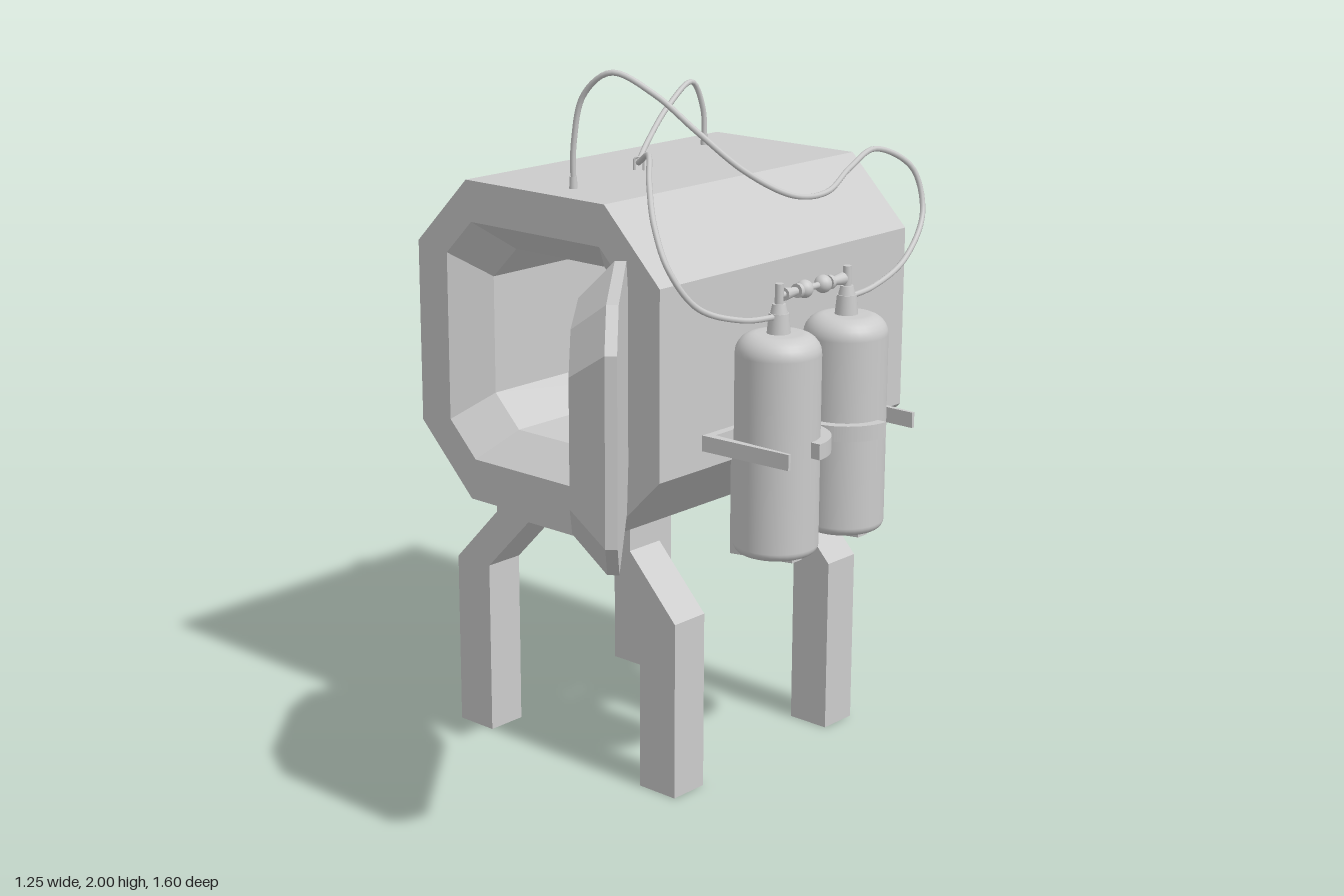
import * as THREE from 'three';

const mat = new THREE.MeshStandardMaterial({ color: 0xcccccc });
const flat = new THREE.MeshStandardMaterial({ color: 0xcccccc, flatShading: true });

function add(parent, name, geo, material = mat, x = 0, y = 0, z = 0) {
  const m = new THREE.Mesh(geo, material);
  m.name = name;
  m.position.set(x, y, z);
  parent.add(m);
  return m;
}

// Chamfered rectangle, counter-clockwise seen from +z
function octagon(x0, x1, y0, y1, c, z) {
  return [[x0 + c, y0], [x1 - c, y0], [x1, y0 + c], [x1, y1 - c],
    [x1 - c, y1], [x0 + c, y1], [x0, y1 - c], [x0, y0 + c]].map(p => [p[0], p[1], z]);
}

// Skin successive loops and cap both ends
function loft(loops) {
  const pos = [];
  const tri = (...p) => p.forEach(v => pos.push(...v));
  const n = loops[0].length;
  for (let k = 0; k < loops.length - 1; k++) {
    const A = loops[k], B = loops[k + 1];
    for (let i = 0; i < n; i++) {
      const j = (i + 1) % n;
      tri(A[i], A[j], B[j]);
      tri(A[i], B[j], B[i]);
    }
  }
  const S = loops[0], E = loops[loops.length - 1];
  for (let i = 1; i < n - 1; i++) {
    tri(S[0], S[i + 1], S[i]);
    tri(E[0], E[i], E[i + 1]);
  }
  const g = new THREE.BufferGeometry();
  g.setAttribute('position', new THREE.Float32BufferAttribute(pos, 3));
  g.computeVertexNormals();
  return g;
}

const polygon = pts => new THREE.Shape(pts.map(p => new THREE.Vector2(p[0], p[1])));
const extrude = (shape, depth) =>
  new THREE.ExtrudeGeometry(shape, { depth, bevelEnabled: false, curveSegments: 16 });
// Horizontal plate from an (x, z) outline, hanging down from its origin
const plate = (shape, thick) => extrude(shape, thick).rotateX(Math.PI / 2);

const TX = 0.43, MID = -0.203, GAP = 0.146, R = 0.117;

function buildTank(s) {
  const tank = new THREE.Group();
  tank.name = 'tank';
  tank.position.set(TX, 0, MID + s * GAP);
  // Rounded bottle
  const pts = [new THREE.Vector2(0, 0.716)];
  const corner = (cy, r, a0) => {
    for (let i = 0; i <= 6; i++) {
      const a = a0 + (i / 6) * Math.PI / 2;
      pts.push(new THREE.Vector2(R - r + Math.cos(a) * r, cy + Math.sin(a) * r));
    }
  };
  corner(0.741, 0.025, -Math.PI / 2);
  corner(1.271, 0.055, 0);
  pts.push(new THREE.Vector2(0, 1.326));
  add(tank, 'bottle', new THREE.LatheGeometry(pts, 32));
  // Neck, collar and valve stem
  add(tank, 'collar', new THREE.CylinderGeometry(0.027, 0.033, 0.06, 16), mat, 0, 1.35, 0);
  add(tank, 'neck', new THREE.CylinderGeometry(0.018, 0.025, 0.03, 16), mat, 0, 1.39, 0);
  add(tank, 'valveStem', new THREE.CylinderGeometry(0.012, 0.012, 0.09, 12), mat, 0, 1.415, 0);
  // Half of the valve linkage, pointing at the other tank
  const link = (name, r0, r1, len, at) => {
    const m = add(tank, name, new THREE.CylinderGeometry(r1, r0, len, 12), mat, 0, 1.427, -s * at);
    m.rotation.x = -s * Math.PI / 2;
  };
  link('linkPipe', 0.009, 0.009, 0.146, 0.073);
  link('linkNut', 0.018, 0.011, 0.05, 0.045);
  link('linkRing', 0.02, 0.02, 0.012, 0.078);
  add(tank, 'linkKnob', new THREE.SphereGeometry(0.025, 16, 12), mat, 0, 1.427, -s * 0.106);
  return tank;
}

function buildRack() {
  const rack = new THREE.Group();
  rack.name = 'tankRack';
  const top = 1.045, h = 0.044;
  for (const s of [-1, 1]) {
    const cz = MID + s * GAP;
    // Tapered outer arm
    const e = d => MID + s * d;
    add(rack, 'outerArm', plate(polygon([[0.285, e(0.265)], [0.285, e(0.292)],
      [0.575, e(0.276)], [0.575, e(0.266)]]), h), mat, 0, top, 0);
    // Clamp arc between the bottles
    const end = -s * 1.75;
    const arc = new THREE.Shape();
    arc.absarc(TX, cz, 0.146, 0, end, s > 0);
    arc.absarc(TX, cz, R, end, 0, s < 0);
    add(rack, 'clampArc', plate(arc, h), mat, 0, top, 0);
    // Hanger with a tapered foot under the bottle
    add(rack, 'footBracket', extrude(polygon([[0.285, 1.0], [0.285, 0.678], [0.505, 0.7],
      [0.505, 0.717], [0.31, 0.717], [0.31, 1.0]]), 0.04), mat, 0, 0, cz - 0.02);
  }
  add(rack, 'middleArm', new THREE.BoxGeometry(0.125, h, 0.045), mat, 0.347, top - h / 2, MID);
  add(rack, 'wallPlate', new THREE.BoxGeometry(0.03, h, 0.56), mat, 0.3, top - h / 2, MID);
  return rack;
}

export function createModel() {
  const root = new THREE.Group();
  root.name = 'chamber';

  // Hollow eight-sided body with a tapered opening
  add(root, 'body', loft([
    octagon(-0.625, 0.29, 0.752, 1.673, 0.197, -0.8),
    octagon(-0.625, 0.29, 0.752, 1.673, 0.197, 0.26),
    octagon(-0.51, 0.175, 0.872, 1.557, 0.1, 0.26),
    octagon(-0.427, 0.092, 0.953, 1.476, 0.092, 0.16),
    octagon(-0.427, 0.092, 0.953, 1.476, 0.092, -0.72),
  ]), flat);

  // Plug door swung open on its hinge side
  const door = add(root, 'door', loft([
    octagon(0, 0.68, 0.875, 1.557, 0.1, 0),
    octagon(0, 0.68, 0.875, 1.557, 0.1, 0.03),
    octagon(0.08, 0.6, 0.955, 1.477, 0.095, 0.12),
  ]), flat, 0.18, 0, 0.262);
  door.rotation.y = -0.864;

  // Bent leg frames
  const half = [[0.26, 0.752], [0.26, 0.69], [0.427, 0.515], [0.427, 0],
    [0.297, 0], [0.297, 0.515], [0.133, 0.685]];
  const outline = [...half, ...half.map(p => [-p[0], p[1]]).reverse()];
  for (const z of [0.04, -0.635]) {
    add(root, 'legFrame', extrude(polygon(outline), 0.122), flat, -0.167, 0, z);
  }

  // Twin tanks and their rack
  root.add(buildTank(1), buildTank(-1), buildRack());

  // Hoses from the roof to the tank necks
  const hoses = [
    [[-0.31, 1.67, -0.605], [-0.312, 1.78, -0.6], [-0.311, 1.865, -0.55], [-0.29, 1.81, -0.42],
      [-0.24, 1.735, -0.28], [-0.17, 1.7, -0.165], [-0.07, 1.725, -0.06], [0.07, 1.772, 0.06],
      [0.19, 1.725, 0.19], [0.28, 1.64, 0.27], [0.35, 1.54, 0.293], [0.395, 1.44, 0.235],
      [0.425, 1.385, 0.09], [TX, 1.37, MID + GAP]],
    [[-0.12, 1.67, 0.153], [-0.117, 1.8, 0.153], [-0.085, 1.93, 0.147], [0, 1.995, 0.128],
      [0.1, 1.94, 0.07], [0.19, 1.845, 0.005], [0.28, 1.735, -0.09], [0.34, 1.66, -0.22],
      [0.345, 1.65, -0.36], [0.315, 1.695, -0.5], [0.305, 1.73, -0.63], [0.34, 1.66, -0.76],
      [0.375, 1.54, -0.765], [0.41, 1.43, -0.64], [0.428, 1.38, -0.47], [TX, 1.37, MID - GAP]],
  ];
  for (const pts of hoses) {
    const curve = new THREE.CatmullRomCurve3(pts.map(p => new THREE.Vector3(...p)));
    add(root, 'hose', new THREE.TubeGeometry(curve, 120, 0.008, 8, false));
    add(root, 'hoseFitting', new THREE.CylinderGeometry(0.01, 0.012, 0.035, 12), mat,
      pts[0][0], 1.688, pts[0][2]);
  }

  // Roof clip holding the longer hose
  const clip = new THREE.Group();
  clip.name = 'hoseClip';
  clip.position.set(-0.173, 0, -0.168);
  clip.rotation.y = 0.65;
  for (const s of [-1, 1]) {
    add(clip, 'clipPost', new THREE.CylinderGeometry(0.004, 0.004, 0.035, 8), mat, s * 0.013, 1.685, 0);
  }
  const loop = add(clip, 'clipLoop', new THREE.TorusGeometry(0.013, 0.004, 6, 12, Math.PI), mat, 0, 1.702, 0);
  loop.scale.y = 0.6;
  root.add(clip);

  return root;
}
